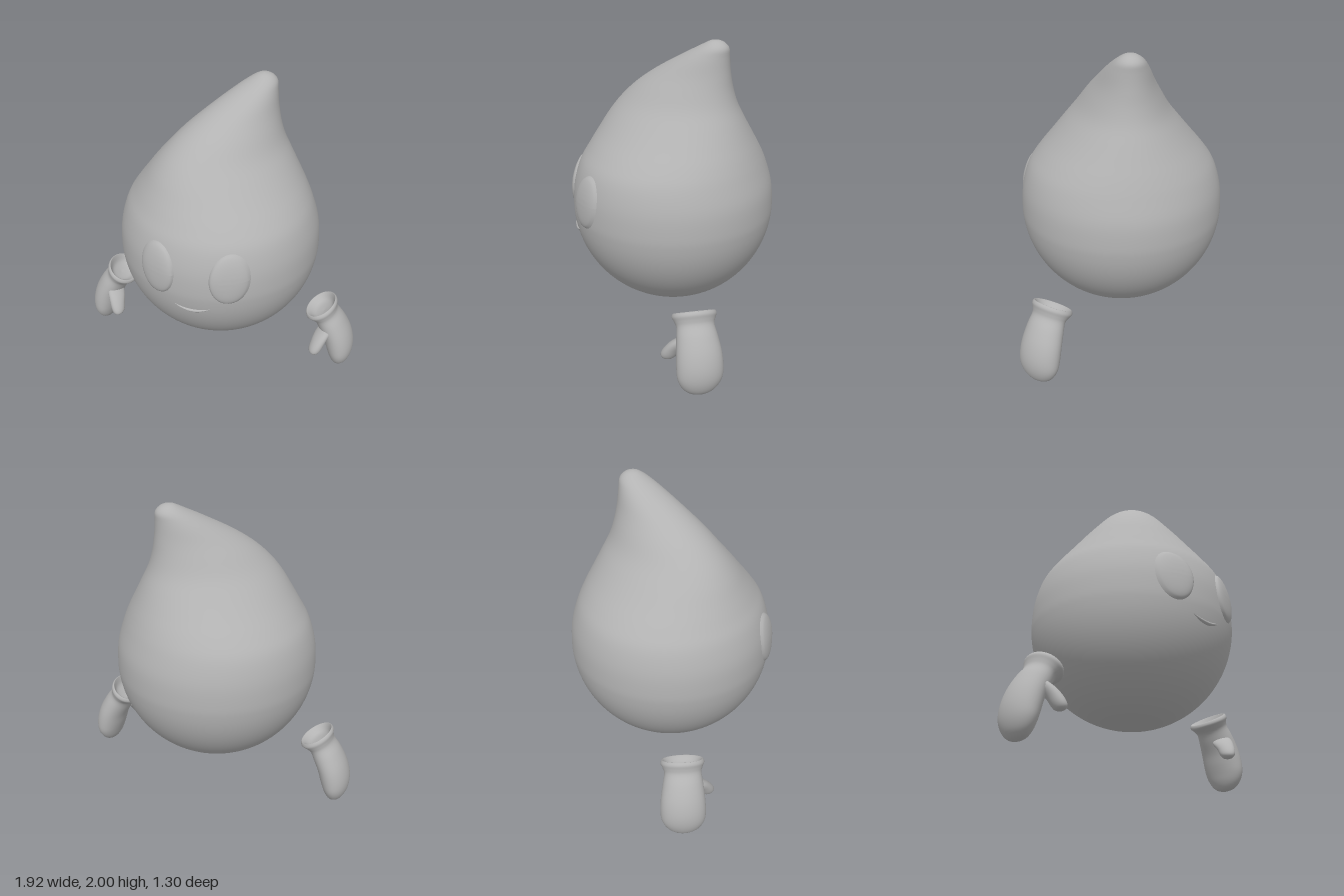
import * as THREE from 'three';

// Catmull-Rom smoothing of a table of section rows
function smoothRows(rows, steps) {
  const out = [];
  const n = rows.length;
  for (let i = 0; i < n - 1; i++) {
    const p0 = rows[Math.max(i - 1, 0)], p1 = rows[i], p2 = rows[i + 1], p3 = rows[Math.min(i + 2, n - 1)];
    for (let s = 0; s < steps; s++) {
      const t = s / steps;
      out.push(p1.map((b, k) => 0.5 * (2 * b + (p2[k] - p0[k]) * t
        + (2 * p0[k] - 5 * b + 4 * p2[k] - p3[k]) * t * t
        + (3 * b - p0[k] - 3 * p2[k] + p3[k]) * t * t * t)));
    }
  }
  out.push(rows[n - 1]);
  return out;
}

// Skin elliptical rings { c, u, v }, ordered from top to bottom; side -1 mirrors in x
function skin(rings, segments, side = 1) {
  const pos = [], index = [];
  for (const { c, u, v } of rings) {
    for (let j = 0; j < segments; j++) {
      const a = (j / segments) * Math.PI * 2;
      const p = c.clone().addScaledVector(u, Math.cos(a)).addScaledVector(v, Math.sin(a));
      pos.push(p.x * side, p.y, p.z);
    }
  }
  for (let i = 0; i < rings.length - 1; i++) {
    for (let j = 0; j < segments; j++) {
      const k = (j + 1) % segments;
      const a = i * segments + j, b = i * segments + k, c = a + segments, d = b + segments;
      if (side > 0) index.push(a, b, c, b, d, c);
      else index.push(a, c, b, b, c, d);
    }
  }
  const geo = new THREE.BufferGeometry();
  geo.setAttribute('position', new THREE.Float32BufferAttribute(pos, 3));
  geo.setIndex(index);
  geo.computeVertexNormals();
  return geo;
}

// Droplet sections: height, lean along the back-left diagonal, radius, narrowing across the lean
const dropRows = [
  [2.0, 0.213, 0.0, 0], [1.995, 0.213, 0.03, 0], [1.98, 0.212, 0.06, 0.02], [1.95, 0.2, 0.096, 0.06],
  [1.9, 0.167, 0.137, 0.11], [1.8, 0.106, 0.211, 0.18], [1.7, 0.059, 0.281, 0.18], [1.6, 0.03, 0.345, 0.16],
  [1.5, 0.017, 0.413, 0.11], [1.4, 0.011, 0.478, 0.06], [1.3, 0.006, 0.543, 0.02], [1.2, 0, 0.598, 0],
  [1.06, 0, 0.639, 0],
];
for (let i = 0; i <= 12; i++) {
  const a = (i / 12) * Math.PI / 2;
  dropRows.push([0.92 - 0.65 * Math.sin(a), 0, 0.65 * Math.cos(a), 0]);
}
const drop = smoothRows(dropRows, 4);

// Front surface of the droplet at x, y
function bodyZ(x, y) {
  let i = 0;
  while (i < drop.length - 2 && drop[i + 1][0] > y) i++;
  const [y0, c0, r0] = drop[i], [y1, c1, r1] = drop[i + 1];
  const t = (y - y0) / (y1 - y0);
  const c = c0 + (c1 - c0) * t, r = r0 + (r1 - r0) * t;
  return -c + Math.sqrt(Math.max(r * r - (x - c) ** 2, 0));
}

// Lay a flat patch on the droplet; rule maps patch x, y to [x, y, height]
function layOnBody(geo, rule) {
  const p = geo.attributes.position;
  for (let i = 0; i < p.count; i++) {
    const [x, y, h] = rule(p.getX(i), p.getY(i));
    p.setXYZ(i, x, y, bodyZ(x, y) + h);
  }
  geo.computeVertexNormals();
  return geo;
}

// Mitten sections: x, y, z, tilt in degrees, half width, half depth
const palmRows = [
  [0.74, 0.425, 0.02, 31, 0, 0], [0.735, 0.435, 0.02, 31, 0.06, 0.08], [0.718, 0.467, 0.02, 31, 0.095, 0.115],
  [0.712, 0.475, 0.02, 31, 0.108, 0.128], [0.72, 0.455, 0.02, 31, 0.115, 0.137], [0.737, 0.432, 0.02, 31, 0.098, 0.125],
  [0.757, 0.405, 0.02, 30, 0.085, 0.116], [0.793, 0.35, 0.018, 27, 0.092, 0.126], [0.835, 0.27, 0.015, 20, 0.095, 0.138],
  [0.86, 0.19, 0.015, 12, 0.095, 0.143], [0.872, 0.12, 0.016, 5, 0.085, 0.138], [0.873, 0.06, 0.018, 0, 0.066, 0.11],
  [0.871, 0.02, 0.018, 0, 0.038, 0.065], [0.87, 0.004, 0.018, 0, 0, 0],
];
const thumbRows = [
  [0.79, 0.37, 0.04, 20, 0.045, 0.055], [0.757, 0.31, 0.1, 15, 0.058, 0.068], [0.732, 0.25, 0.15, 10, 0.051, 0.06],
  [0.719, 0.205, 0.172, 5, 0.043, 0.053], [0.716, 0.18, 0.178, 0, 0.026, 0.034], [0.716, 0.17, 0.178, 0, 0, 0],
];
function mittenPart(rows, side) {
  const rings = smoothRows(rows, 4).map(([x, y, z, tilt, a, b]) => {
    const t = THREE.MathUtils.degToRad(tilt);
    return {
      c: new THREE.Vector3(x, y, z),
      u: new THREE.Vector3(Math.cos(t), Math.sin(t), 0).multiplyScalar(Math.max(a, 0)),
      v: new THREE.Vector3(0, 0, Math.max(b, 0)),
    };
  });
  return skin(rings, 40, side);
}

export function createModel() {
  const model = new THREE.Group();
  model.name = 'dropletCharacter';
  const clay = new THREE.MeshStandardMaterial({ color: 0xb3b3b3 });
  clay.name = 'greyClay';
  const add = (parent, name, geo) => {
    const mesh = new THREE.Mesh(geo, clay);
    mesh.name = name;
    parent.add(mesh);
  };

  // Droplet body with its tip leaning back and to the left
  const h = Math.SQRT1_2;
  add(model, 'body', skin(drop.map(([y, c, r, k]) => {
    const across = Math.max(r * (1 - k), 0);
    const along = Math.sqrt(Math.max(2 * r * r - across * across, 0));
    return {
      c: new THREE.Vector3(c, y, -c),
      u: new THREE.Vector3(h, 0, -h).multiplyScalar(along),
      v: new THREE.Vector3(h, 0, h).multiplyScalar(across),
    };
  }), 96));

  // Smile: a slim raised crescent
  add(model, 'mouth', layOnBody(new THREE.PlaneGeometry(2, 2, 32, 8), (s, t) => {
    const e = 1 - s * s;
    return [0.118 * s, 0.775 + 0.032 * s * s + 0.013 * t * e, 0.012 * (1 - t * t) * e - 0.001];
  }));

  for (const side of [1, -1]) {
    const label = side > 0 ? 'left' : 'right';

    // Domed oval eye
    add(model, label + 'Eye', layOnBody(new THREE.RingGeometry(0, 1, 48, 14), (x, y) => {
      const q = Math.min(x * x + y * y, 1);
      return [side * 0.226 + 0.118 * x, 1.03 + 0.17 * y, 0.026 * Math.sqrt(1 - q * q) - 0.002];
    }));

    // Floating mitten with a flared cuff
    const mitten = new THREE.Group();
    mitten.name = label + 'Mitten';
    add(mitten, label + 'Palm', mittenPart(palmRows, side));
    add(mitten, label + 'Thumb', mittenPart(thumbRows, side));
    model.add(mitten);
  }
  return model;
}
